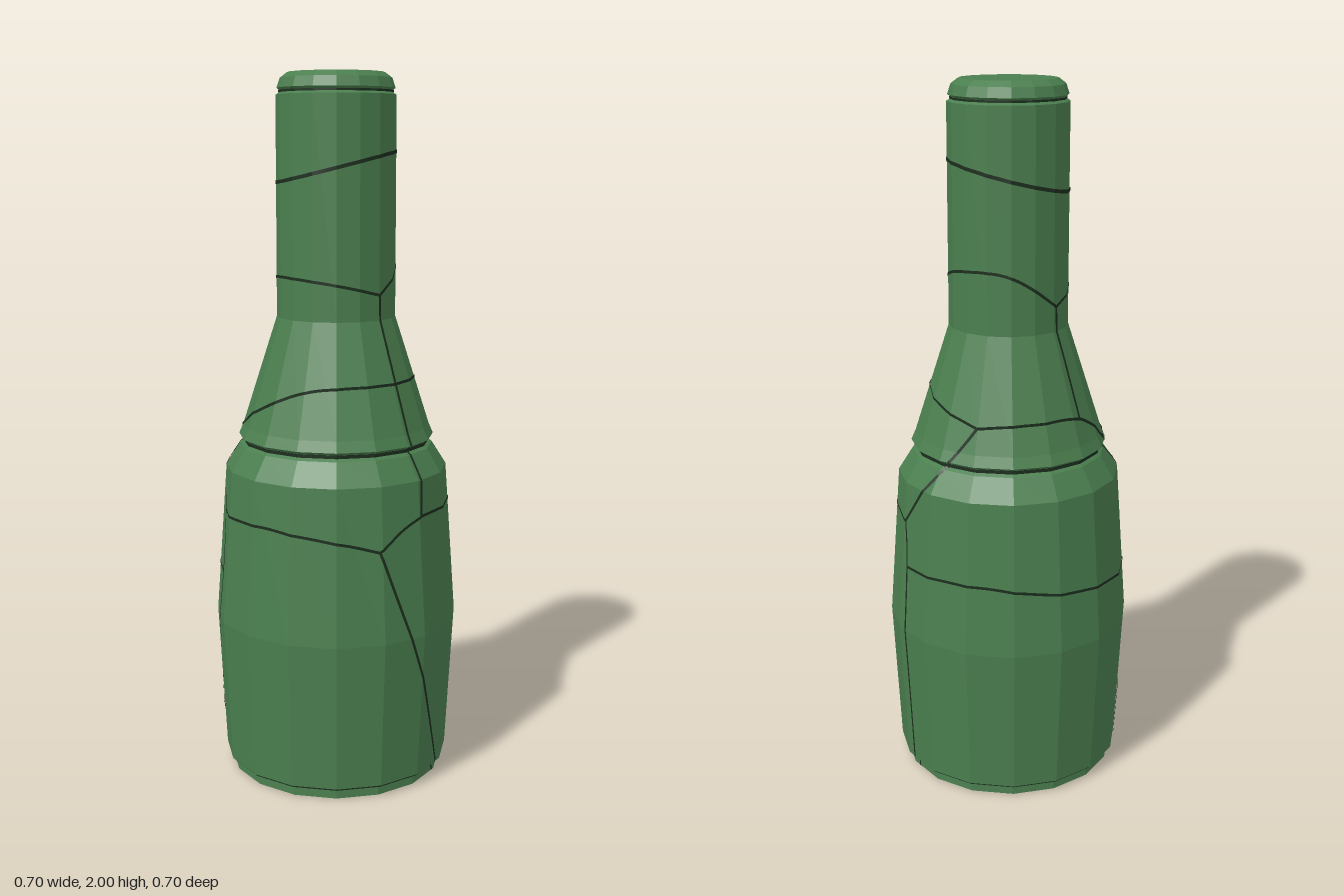
import * as THREE from 'three';

const SIDES = 16;
const RAD = Math.PI / 180;

// Outer profile: [radius, height], bottom to top
const PROFILE = [
  [0.31, 0], [0.31, 0.028], [0.328, 0.036], [0.35, 0.46], [0.318, 0.9], [0.277, 0.965],
  [0.266, 0.972], [0.266, 0.982], [0.28, 0.99], [0.267, 1.02], [0.168, 1.33],
  [0.167, 1.94], [0.157, 1.946], [0.157, 1.952], [0.164, 1.958], [0.155, 1.985], [0.135, 2.0],
];

// Cracks as [degrees round from the front toward +x, height]
const CRACKS = {
  lowerNeckFrontCrack: [[45, 1.4], [0, 1.43], [-45, 1.445], [-90, 1.44], [-132, 1.4]],
  lowerNeckBackCrack: [[45, 1.4], [90, 1.47], [135, 1.5], [180, 1.49], [228, 1.4]],
  leftShoulderCrack: [[45, 1.4], [47, 1.2], [48, 0.97], [46, 0.8]],
  rightShoulderCrack: [[228, 1.4], [231, 1.25], [232, 1.09]],
  frontShoulderCrack: [[-97, 1.0], [-75, 1.05], [-50, 1.1], [-25, 1.14], [0, 1.155], [45, 1.158], [90, 1.155], [130, 1.12], [157, 1.09]],
  backShoulderCrack: [[157, 1.09], [190, 1.1], [232, 1.09], [263, 1.0]],
  backLeftCrack: [[157, 1.09], [135, 0.95], [114, 0.79]],
  backRightCrack: [[263, 1.0], [272, 0.9], [281, 0.78]],
  leftBodyCrack: [[46, 0.8], [80, 0.8], [114, 0.79]],
  frontBranchCrack: [[46, 0.8], [34, 0.77], [21, 0.72]],
  frontBodyCrack: [[21, 0.72], [0, 0.75], [-35, 0.775], [-65, 0.772], [-79, 0.78]],
  frontDiagonalCrack: [[21, 0.72], [35, 0.5], [46, 0.32], [65, 0.002]],
  backLeftVerticalCrack: [[114, 0.79], [117, 0.655], [118, 0.3], [118, 0.002]],
  backBodyCrack: [[117, 0.655], [165, 0.66], [205, 0.63], [250, 0.61], [284, 0.6]],
  rightVerticalCrack: [[281, 0.78], [284, 0.6], [275, 0.3], [263, 0.002]],
};

// Radius of the profile at a height
function radiusAt(y) {
  for (let i = 1; i < PROFILE.length; i++) {
    const [r0, y0] = PROFILE[i - 1], [r1, y1] = PROFILE[i];
    if (y <= y1) return r0 + (r1 - r0) * Math.max(0, (y - y0) / (y1 - y0));
  }
  return PROFILE[PROFILE.length - 1][0];
}

// Point just outside the faceted wall
function wallPoint(degrees, y) {
  const step = (2 * Math.PI) / SIDES;
  const a = degrees * RAD;
  const within = a - Math.floor(a / step) * step - step / 2;
  const r = radiusAt(y) * Math.cos(step / 2) / Math.cos(within) + 0.002;
  return new THREE.Vector3(r * Math.sin(a), y, r * Math.cos(a));
}

// Thin strip following a row of points; normalAt gives the surface direction
function ribbon(points, normalAt, halfWidth) {
  const pos = [], index = [];
  points.forEach((p, i) => {
    const tangent = points[Math.min(i + 1, points.length - 1)].clone().sub(points[Math.max(i - 1, 0)]);
    const side = normalAt(p).cross(tangent).normalize().multiplyScalar(halfWidth);
    pos.push(...p.clone().add(side).toArray(), ...p.clone().sub(side).toArray());
    if (i > 0) {
      const k = 2 * i;
      index.push(k - 2, k - 1, k, k - 1, k + 1, k);
    }
  });
  const g = new THREE.BufferGeometry();
  g.setAttribute('position', new THREE.Float32BufferAttribute(pos, 3));
  g.setIndex(index);
  g.computeVertexNormals();
  return g;
}

export function createModel() {
  const model = new THREE.Group();
  model.name = 'crackedBottle';
  const glass = new THREE.MeshStandardMaterial({ color: 0x4b7f4f, flatShading: true });
  const dark = new THREE.MeshStandardMaterial({ color: 0x1c2e1e, side: THREE.DoubleSide });

  const add = (name, geometry, material, parent = model) => {
    const mesh = new THREE.Mesh(geometry, material);
    mesh.name = name;
    parent.add(mesh);
    return mesh;
  };

  // Solid faceted bottle, closed at base and top
  const outline = [[0, 0], ...PROFILE, [0, 2]].map(([r, y]) => new THREE.Vector2(r, y));
  add('bottle', new THREE.LatheGeometry(outline, SIDES), glass);

  const cracks = new THREE.Group();
  cracks.name = 'cracks';
  model.add(cracks);
  const outward = (p) => new THREE.Vector3(p.x, 0, p.z).normalize();

  // Branching cracks between the shards
  for (const [name, nodes] of Object.entries(CRACKS)) {
    const curve = new THREE.SplineCurve(nodes.map(([a, y]) => new THREE.Vector2(a, y)));
    const points = curve.getPoints(160).map((p) => wallPoint(p.x, p.y));
    add(name, ribbon(points, outward, 0.004), dark, cracks);
  }

  // Full rings: slanted neck crack, shoulder groove and lip seam
  const ring = (name, heightAt, halfWidth) => {
    const points = [];
    for (let d = 0; d <= 360; d += 1.25) points.push(wallPoint(d, heightAt(d)));
    add(name, ribbon(points, outward, halfWidth), dark, cracks);
  };
  ring('upperNeckCrack', (d) => 1.745 + 0.042 * Math.sin(d * RAD), 0.005);
  ring('shoulderGroove', () => 0.977, 0.005);
  ring('lipSeam', () => 1.949, 0.003);
  ring('baseSeam', () => 0.032, 0.003);

  // Cracks across the underside
  const basePoint = (d, r) => new THREE.Vector3(r * Math.sin(d * RAD), -0.001, r * Math.cos(d * RAD));
  const down = () => new THREE.Vector3(0, -1, 0);
  const junction = basePoint(118, 0.26);
  [65, 118, 263].forEach((d, i) =>
    add('baseCrack' + (i + 1), ribbon([junction, basePoint(d, 0.3)], down, 0.003), dark, cracks));

  return model;
}
